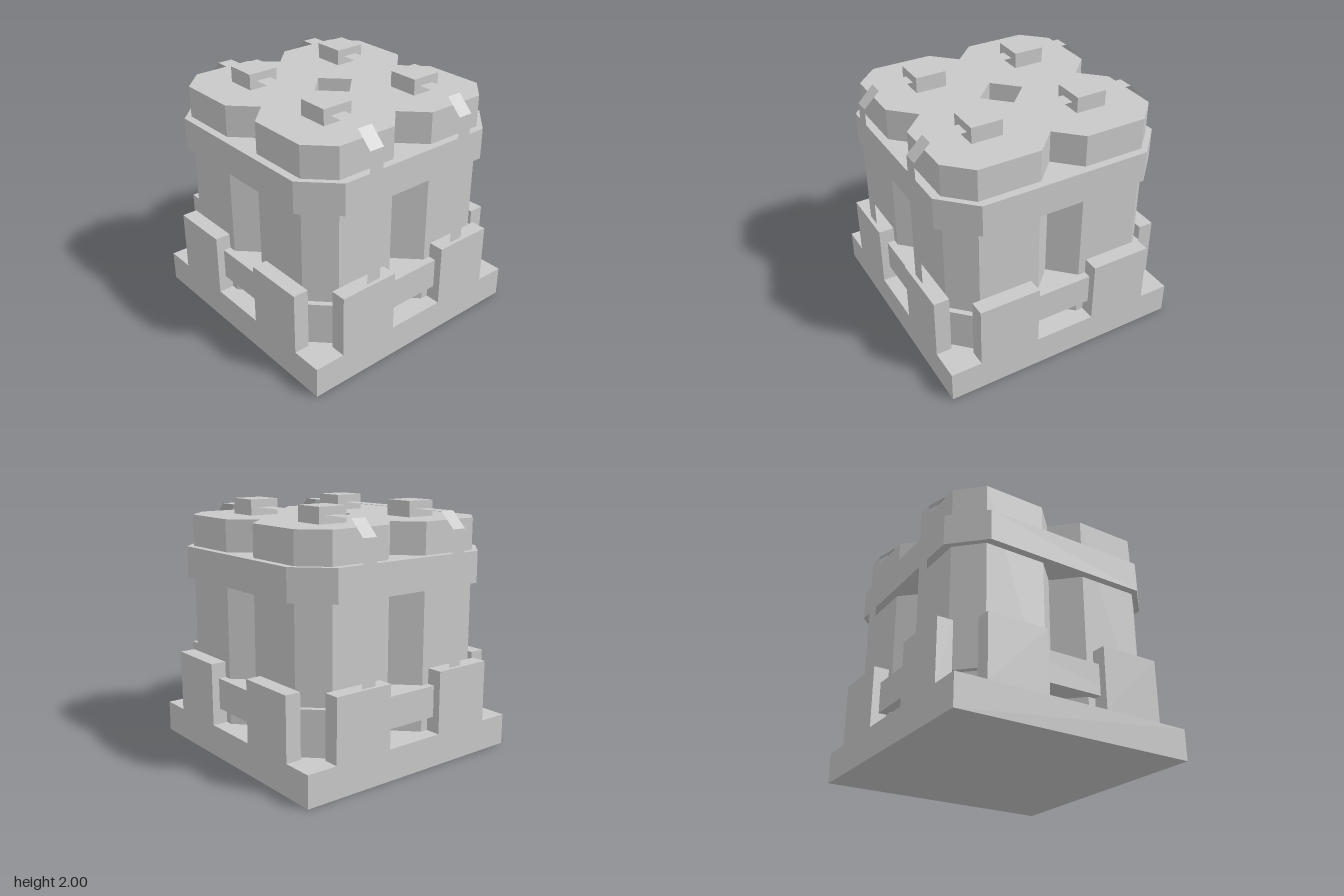
import * as THREE from 'three';

export function createModel() {
  const model = new THREE.Group();
  const grey = new THREE.MeshStandardMaterial({ color: 0xc8c8c8 });
  grey.name = 'plain grey';
  const strapGrey = grey; // straps share the one colour

  const add = (name, geometry, material = grey, parent = model) => {
    const mesh = new THREE.Mesh(geometry, material);
    mesh.name = name;
    parent.add(mesh);
    return mesh;
  };
  const box = (name, w, h, d, x, y, z, parent) =>
    add(name, new THREE.BoxGeometry(w, h, d), grey, parent).position.set(x, y, z);

  // Upright prism from a plan outline, between two heights
  const prism = (name, outline, y0, y1, hole) => {
    const shape = new THREE.Shape(outline);
    if (hole) shape.holes.push(new THREE.Path(hole));
    const g = new THREE.ExtrudeGeometry(shape, { depth: y1 - y0, bevelEnabled: false });
    g.rotateX(-Math.PI / 2).translate(0, y0, 0);
    return add(name, g);
  };
  // Repeats one side's points on all four sides
  const fourSided = (points) => {
    const out = [];
    for (let k = 0; k < 4; k++) {
      for (const [x, y] of points) {
        out.push(new THREE.Vector2(x, y).rotateAround(new THREE.Vector2(), k * Math.PI / 2));
      }
    }
    return out;
  };

  // Square plinth
  box('base', 2, 0.25, 2, 0, 0.125, 0);

  // Four joined eight-sided drums with a diamond shaft between them
  prism('drumCluster',
    fourSided([[0.875, -0.6875], [0.875, -0.1875], [0.6875, 0], [0.875, 0.1875], [0.875, 0.6875]]),
    0.25, 1.875, fourSided([[0.1875, 0]]));

  // Two chamfered bands around the cluster
  const bandOutline = fourSided([[0.9375, -0.6875], [0.9375, 0.6875]]);
  prism('lowerBand', bandOutline, 0.375, 0.625);
  prism('upperBand', bandOutline, 1.375, 1.625);

  // Two upright guards on each side of the base
  for (let k = 0; k < 4; k++) {
    const side = new THREE.Group();
    side.name = 'guardPair';
    for (const s of [-1, 1]) box('guard', 0.5, 0.5, 0.125, s * 0.5, 0.5, 0.9375, side);
    side.rotation.y = k * Math.PI / 2;
    model.add(side);
  }

  // Thin straps over the top, each with two blocks
  const path = [[0.96875, 0.7], [0.96875, 1.8125], [0.84375, 1.9375],
    [-0.84375, 1.9375], [-0.96875, 1.8125], [-0.96875, 0.7]];
  strapGrey.side = THREE.DoubleSide;
  for (const s of [-1, 1]) {
    const x = s * 0.4375;
    const strap = new THREE.Group();
    strap.name = s > 0 ? 'leftStrap' : 'rightStrap';
    model.add(strap);
    for (let i = 0; i < path.length - 1; i++) {
      const [z0, y0] = path[i], [z1, y1] = path[i + 1];
      const plane = new THREE.PlaneGeometry(0.125, Math.hypot(z1 - z0, y1 - y0));
      plane.rotateX(-Math.atan2(z0 - z1, y1 - y0));
      plane.translate(x, (y0 + y1) / 2, (z0 + z1) / 2);
      add('strapSegment', plane, strapGrey, strap);
    }
    for (const t of [-1, 1]) box('strapBlock', 0.25, 0.125, 0.25, x, 1.9375, t * 0.4375, strap);
  }
  return model;
}
